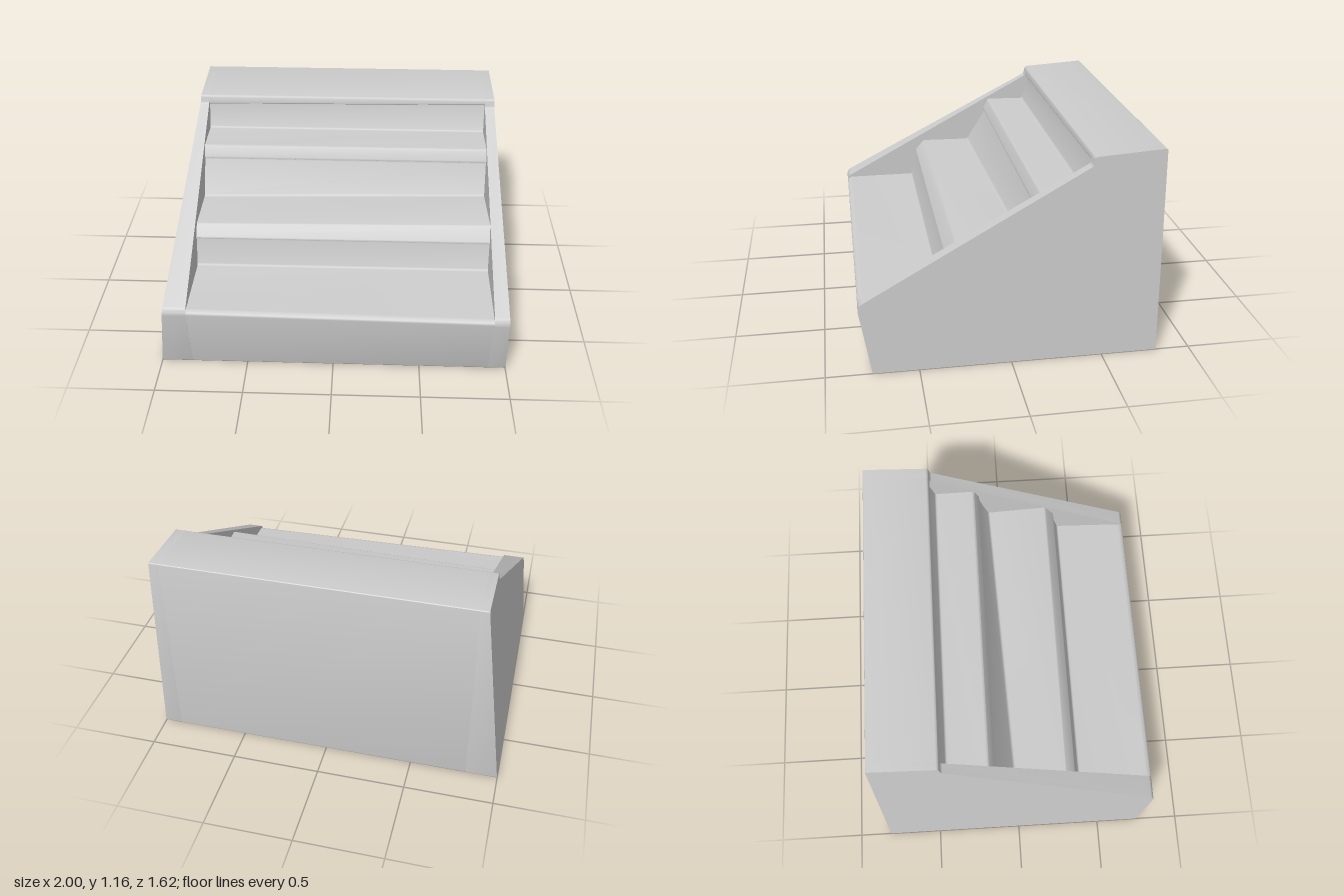
import * as THREE from 'three';
import { toCreasedNormals } from 'three/addons/utils/BufferGeometryUtils.js';

const material = new THREE.MeshStandardMaterial({ color: 0xcccccc });

// Outer walls lean inwards with height
const outerRight = (y) => -1 + 0.116 * y;
const outerLeft = (y) => 1 - 0.039 * y;

// Soften each corner of a closed [z, y] profile with a short curve
function soften(points, radius = 0.012) {
  const result = [];
  points.forEach((p, i) => {
    const corner = new THREE.Vector2(...p);
    const toward = (q) => {
      const d = new THREE.Vector2(...q).sub(corner);
      return corner.clone().addScaledVector(d, Math.min(radius / d.length(), 0.4));
    };
    const before = toward(points[(i + points.length - 1) % points.length]);
    const after = toward(points[(i + 1) % points.length]);
    result.push(...new THREE.QuadraticBezierCurve(before, corner, after).getPoints(3));
  });
  return result;
}

// Solid between two matching profiles; xA and xB give the end position by height
function loft(name, profileA, profileB, xA, xB) {
  const a = soften(profileA), b = soften(profileB), n = a.length;
  const positions = [];
  const A = (i) => positions.push(xA(a[i].y), a[i].y, a[i].x);
  const B = (i) => positions.push(xB(b[i].y), b[i].y, b[i].x);
  for (let i = 0; i < n; i++) {
    const j = (i + 1) % n;
    A(i); B(j); A(j);
    A(i); B(i); B(j);
  }
  for (const [i, j, k] of THREE.ShapeUtils.triangulateShape(a.slice(), [])) { A(i); A(j); A(k); }
  for (const [i, j, k] of THREE.ShapeUtils.triangulateShape(b.slice(), [])) { B(i); B(k); B(j); }
  const geometry = new THREE.BufferGeometry();
  geometry.setAttribute('position', new THREE.Float32BufferAttribute(positions, 3));
  const mesh = new THREE.Mesh(toCreasedNormals(geometry, 0.6), material);
  mesh.name = name;
  return mesh;
}

// Side wall profile, with its own height at the front corner
const cheek = (frontY) => [
  [0.75, 0], [0.813, frontY - 0.03], [0.80, frontY],
  [-0.42, 1.09], [-0.43, 1.14], [-0.813, 1.165], [-0.813, 0],
];

// Stepped profile: front rim, tray, two lipped shelves, top ledge
const steps = (rimY, lipY, riserZ, topY) => [
  [0.75, 0], [0.813, rimY - 0.015], [0.79, rimY],
  [0.37, 0.42], [0.325, 0.59],
  [0.342, 0.592], [0.282, lipY],
  [riserZ, 0.655], [-0.145, 0.86],
  [-0.13, 0.862], [-0.165, 0.935],
  [-0.40, 0.93], [-0.45, topY],
  [-0.42, topY + 0.005], [-0.43, 1.14], [-0.813, 1.165], [-0.813, 0],
];

export function createModel() {
  const group = new THREE.Group();
  group.name = 'steppedDisplay';
  const innerRight = () => -0.82;
  const innerLeft = () => 0.90;
  group.add(
    loft('rightSideWall', cheek(0.43), cheek(0.43), outerRight, innerRight),
    loft('leftSideWall', cheek(0.405), cheek(0.405), innerLeft, outerLeft),
    loft('steppedShelves', steps(0.42, 0.66, -0.02, 1.08), steps(0.395, 0.685, -0.08, 1.10), innerRight, innerLeft),
  );
  return group;
}
